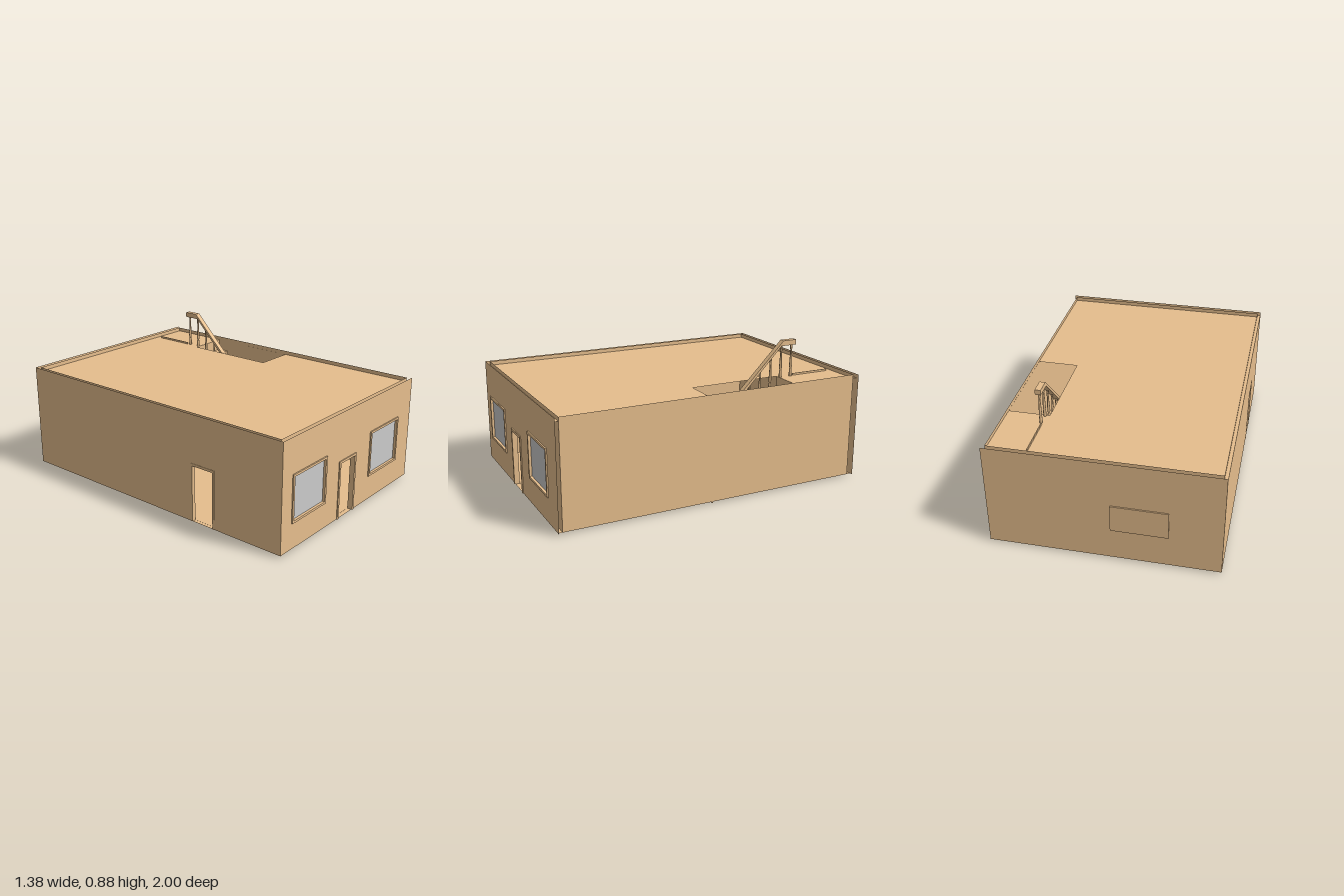
import * as THREE from 'three';

export function createModel() {
  const house = new THREE.Group();
  house.name = 'house';
  const tan = new THREE.MeshStandardMaterial({ color: 0xe6be8d, side: THREE.DoubleSide });
  const glass = new THREE.MeshStandardMaterial({ color: 0xcccccc, side: THREE.DoubleSide });

  const add = (name, geometry, parent = house, material = tan) => {
    const mesh = new THREE.Mesh(geometry, material);
    mesh.name = name;
    parent.add(mesh);
    return mesh;
  };
  // Box from its low and high corners
  const box = (name, x0, x1, y0, y1, z0, z1, parent, material) => {
    const mesh = add(name, new THREE.BoxGeometry(x1 - x0, y1 - y0, z1 - z0), parent, material);
    mesh.position.set((x0 + x1) / 2, (y0 + y1) / 2, (z0 + z1) / 2);
    return mesh;
  };
  // Flat sheet with rectangular openings, each given as [x0, x1, y0, y1]
  const rect = (target, [x0, x1, y0, y1]) => {
    target.moveTo(x0, y0).lineTo(x1, y0).lineTo(x1, y1).lineTo(x0, y1).closePath();
    return target;
  };
  const sheet = (outer, holes = []) => {
    const shape = rect(new THREE.Shape(), outer);
    shape.holes = holes.map((h) => rect(new THREE.Path(), h));
    return new THREE.ShapeGeometry(shape);
  };

  const floorY = 0.012, roofY = 0.65, topY = 0.675;
  const left = 0.667, right = -0.688, end = 0.992, inner = 0.965;

  // Front wall: two skins pierced by the windows and the doorway
  const windows = [[-0.595, -0.27, 0.17, 0.46], [0.2, 0.53, 0.17, 0.46]];
  const door = [-0.135, 0.045, floorY, 0.378];
  const frontHoles = [...windows, [door[0], door[1], floorY + 0.0005, door[3]]];
  add('frontWallOuter', sheet([right, 0.686, floorY, topY], frontHoles)).position.z = end;
  add('frontWallInner', sheet([right + 0.02, left, floorY, topY], frontHoles)).position.z = inner;

  // Back wall
  add('backWallOuter', sheet([right, 0.686, floorY, topY]).rotateY(Math.PI).translate(-0.002, 0, -end));
  add('backWallInner', sheet([right + 0.02, left, floorY, topY])).position.z = -inner;

  // Side walls; sheet x becomes z, and the right one has a doorway
  const sideDoor = [0.35, 0.53, floorY + 0.0005, 0.378];
  const sideWall = (name, x, half, holes) =>
    add(name, sheet([-half, half, floorY, topY], holes).rotateY(-Math.PI / 2)).position.x = x;
  sideWall('rightWallOuter', right, end, [sideDoor]);
  sideWall('rightWallInner', right + 0.022, inner, [sideDoor]);
  add('leftWall', sheet([-inner, inner, floorY, topY]).rotateY(Math.PI / 2)).position.x = left;

  // Roof and floor, both open at the stairwell; sheet y becomes -z
  const slab = (name, y, hole) =>
    add(name, sheet([right, left, -end, end], [hole]).rotateX(-Math.PI / 2)).position.y = y;
  slab('roof', roofY, [0.412, left - 0.0005, -0.03, 0.64]);
  slab('floor', floorY, [0.412, left - 0.0005, -0.03, 0.7]);

  // Window and door casings
  const casing = (name, [x0, x1, y0, y1], z0, z1, t, sill, parent = house) => {
    const group = new THREE.Group();
    group.name = name;
    parent.add(group);
    box('leftJamb', x1 - t, x1, y0, y1, z0, z1, group);
    box('rightJamb', x0, x0 + t, y0, y1, z0, z1, group);
    box('head', x0 + t, x1 - t, y1 - t, y1, z0, z1, group);
    if (sill) box('sill', x0 + t, x1 - t, y0, y0 + t, z0, z1, group);
    return group;
  };
  for (const w of windows) {
    const frame = casing('frontWindow', w, inner, 1, 0.014, true);
    box('pane', w[0] + 0.014, w[1] - 0.014, w[2] + 0.014, w[3] - 0.014, 0.978, 0.984, frame, glass);
  }
  casing('frontDoorway', door, inner, 0.998, 0.015, false);
  casing('sideDoorway', [0.35, 0.53, floorY, 0.378], 0.665, 0.69, 0.015, false).rotation.y = -Math.PI / 2;
  box('backWindow', -0.38, -0.045, 0.215, 0.388, -1, -inner);

  // Staircase climbing toward the back along the left wall
  const stairs = new THREE.Group();
  stairs.name = 'staircase';
  house.add(stairs);
  const steps = 9, run = 0.0745, base = 0.003, rise = (roofY - base) / steps, startZ = 0.03;
  for (let i = 0; i < steps; i++) {
    const z = startZ - i * run, y = base + i * rise;
    box('riser', 0.412, left - 0.001, y, y + rise, z - 0.006, z, stairs);
    box('tread', 0.412, left - 0.001, y + rise - 0.006, y + rise, z - run, z, stairs);
  }

  // Low edging beside the upper landing
  box('landingEdge', 0.43, 0.436, roofY, roofY + 0.012, -0.93, -0.67, stairs);

  // Handrail: a 45 degree slope that levels off at the top
  const rail = new THREE.Shape();
  [[0.12, 0.185], [-0.58, 0.885], [-0.672, 0.885], [-0.672, 0.853], [-0.567, 0.853], [0.12, 0.15]]
    .forEach(([z, y], i) => (i ? rail.lineTo(-z, y) : rail.moveTo(-z, y)));
  add('handrail', new THREE.ExtrudeGeometry(rail, { depth: 0.035, bevelEnabled: false })
    .rotateY(Math.PI / 2).translate(0.422, 0, 0), stairs);

  // Turned balusters, one on each tread
  const profile = [[0, 0], [0.009, 0], [0.009, 0.2], [0.006, 0.24], [0.009, 0.32], [0.008, 0.45],
    [0.005, 0.8], [0.007, 0.85], [0.007, 1]];
  for (let k = 0; k <= 10; k++) {
    const z = 0.1 - k * 0.075;
    const y0 = Math.min(k * rise, roofY);
    const y1 = Math.min(0.275 - z, 0.86);
    const points = profile.map(([r, t]) => new THREE.Vector2(r, t * (y1 - y0)));
    add('baluster', new THREE.LatheGeometry(points, 10), stairs).position.set(0.44, y0, z);
  }
  return house;
}
